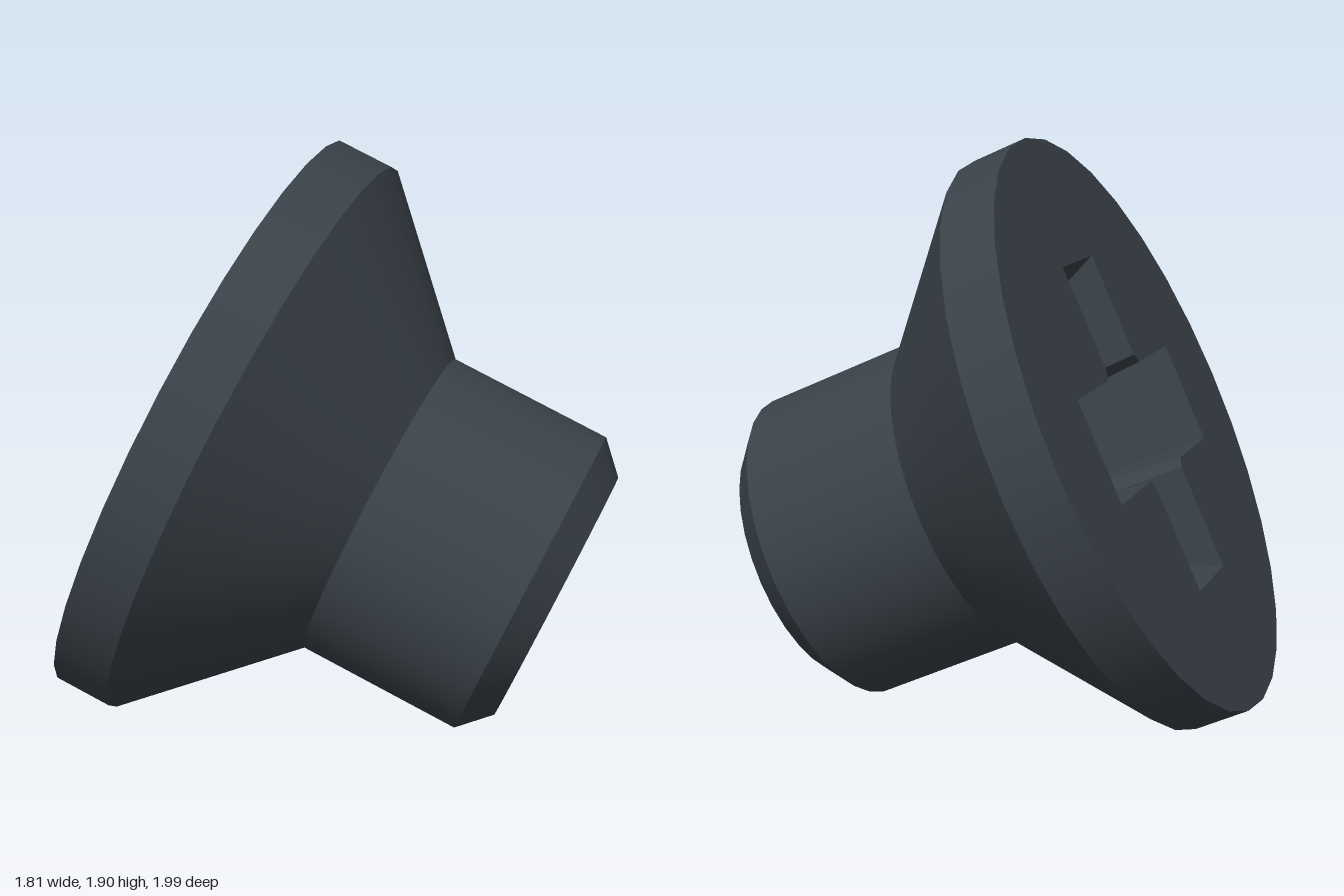
import * as THREE from 'three';

const SIDES = 32;
const DEPTH = 0.5;

// Cross outline, counter-clockwise, with chamfered inner corners
function crossOutline(arm, half, chamfer) {
  const quarter = [[arm, -half], [arm, half], [half + chamfer, half], [half, half + chamfer]];
  const points = [];
  for (let k = 0; k < 4; k++) {
    for (const [x, y] of quarter) {
      points.push(new THREE.Vector2(x, y).rotateAround(new THREE.Vector2(), k * Math.PI / 2));
    }
  }
  return points;
}

// Flat walls joining the recess opening to its smaller floor, facing inwards
function recessWalls(top, bottom) {
  const pos = [];
  top.forEach((a, i) => {
    const j = (i + 1) % top.length;
    const b = top[j], c = bottom[j], d = bottom[i];
    pos.push(d.x, d.y, -DEPTH, a.x, a.y, 0, b.x, b.y, 0);
    pos.push(d.x, d.y, -DEPTH, b.x, b.y, 0, c.x, c.y, -DEPTH);
  });
  const geo = new THREE.BufferGeometry();
  geo.setAttribute('position', new THREE.Float32BufferAttribute(pos, 3));
  geo.computeVertexNormals();
  return geo;
}

export function createModel() {
  const metal = new THREE.MeshStandardMaterial({ color: 0x3a4249 });
  metal.name = 'darkSteel';
  const screw = new THREE.Group();
  screw.name = 'screw';

  function add(name, geometry) {
    const mesh = new THREE.Mesh(geometry, metal);
    mesh.name = name;
    screw.add(mesh);
    return mesh;
  }

  // Turned body, one band per crease: radius and distance behind the head face
  const bands = [
    ['tip', 0, 1.3, 0.437, 1.3],
    ['tipChamfer', 0.437, 1.3, 0.535, 1.205],
    ['shank', 0.535, 1.205, 0.535, 0.65],
    ['headCone', 0.535, 0.65, 1, 0.19],
    ['headRim', 1, 0.19, 1, 0],
  ];
  for (const [name, r0, s0, r1, s1] of bands) {
    const profile = [new THREE.Vector2(r0, -s0), new THREE.Vector2(r1, -s1)];
    add(name, new THREE.LatheGeometry(profile, SIDES).rotateX(Math.PI / 2));
  }

  // Head face with a cross-shaped opening
  const opening = crossOutline(0.565, 0.175, 0.03);
  const floor = crossOutline(0.34, 0.14, 0.05);
  const circle = [];
  for (let i = 0; i < SIDES; i++) {
    const a = i / SIDES * Math.PI * 2;
    circle.push(new THREE.Vector2(Math.cos(a), Math.sin(a)));
  }
  const face = new THREE.Shape(circle);
  face.holes.push(new THREE.Path(opening));
  add('headFace', new THREE.ShapeGeometry(face));

  // Tapered driver recess
  add('recessWalls', recessWalls(opening, floor));
  add('recessFloor', new THREE.ShapeGeometry(new THREE.Shape(floor))).position.z = -DEPTH;

  // Lay the screw down, resting on its rim and tip
  const normal = new THREE.Vector3(-0.893, 0.411, -0.1875).normalize();
  const across = new THREE.Vector3(0, 1, 0).cross(normal).normalize();
  const upward = normal.clone().cross(across);
  screw.quaternion.setFromRotationMatrix(new THREE.Matrix4().makeBasis(across, upward, normal));
  screw.position.set(-0.45, 0.99, -0.018);

  const model = new THREE.Group();
  model.name = 'countersunkScrew';
  model.add(screw);
  return model;
}
